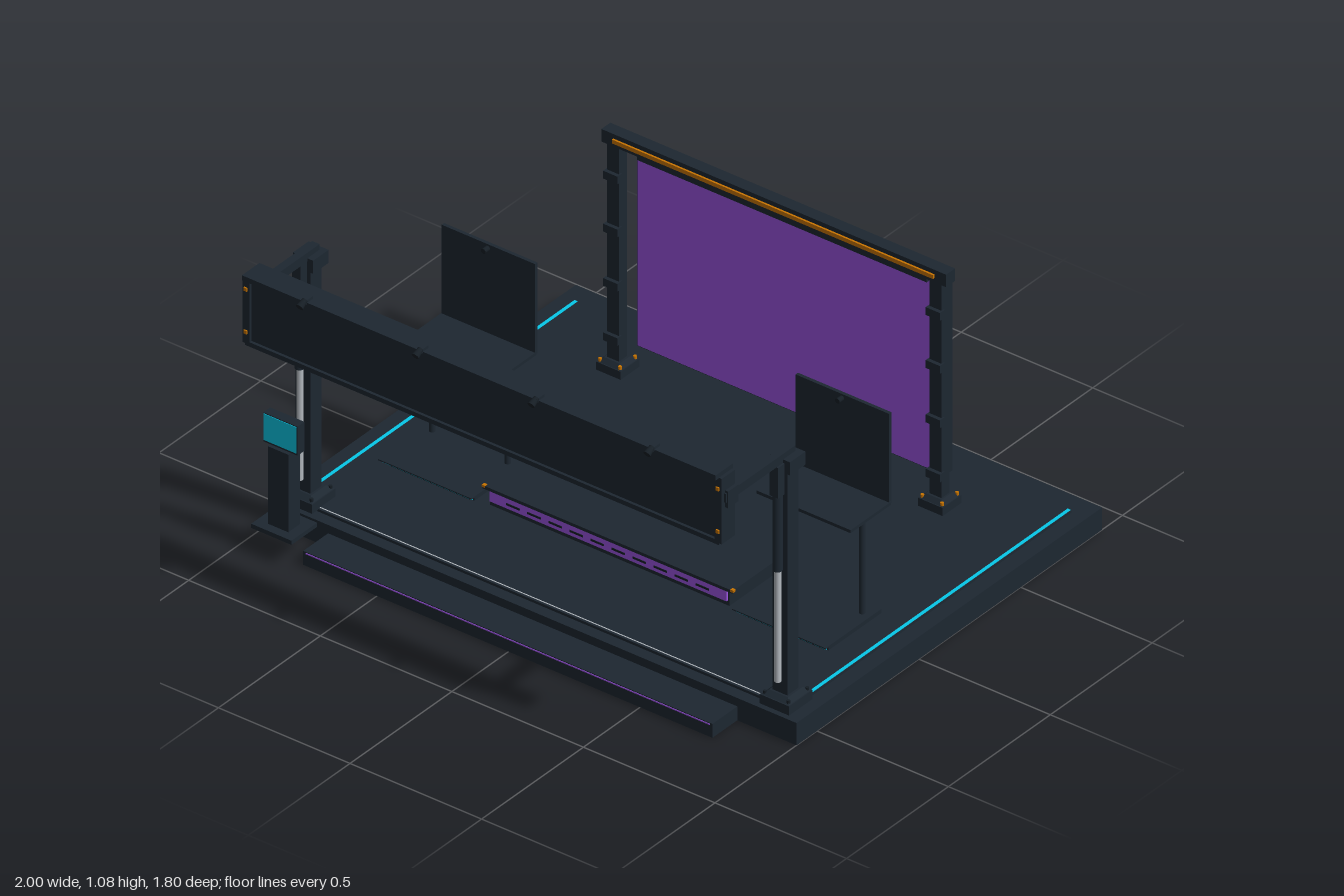
import * as THREE from 'three';

const mat = (name, color) => {
  const m = new THREE.MeshStandardMaterial({ color });
  m.name = name;
  return m;
};

export function createModel() {
  const slate = mat('slate', 0x1d2731);
  const dark = mat('darkSlate', 0x161e25);
  const cyan = mat('cyan', 0x06c8e8);
  const purple = mat('purple', 0x9c55e2);
  const orange = mat('orange', 0xc87400);
  const steel = mat('steel', 0xb4bac0);
  const model = new THREE.Group();

  const add = (parent, name, geometry, material, x = 0, y = 0, z = 0) => {
    const mesh = new THREE.Mesh(geometry, material);
    mesh.name = name;
    mesh.position.set(x, y, z);
    parent.add(mesh);
    return mesh;
  };
  // box given by its minimum and maximum along each axis
  const box = (parent, name, material, [x0, x1], [y0, y1], [z0, z1]) =>
    add(parent, name, new THREE.BoxGeometry(x1 - x0, y1 - y0, z1 - z0), material,
      (x0 + x1) / 2, (y0 + y1) / 2, (z0 + z1) / 2);
  const rod = (parent, name, material, r, x, [y0, y1], z, sides = 16) =>
    add(parent, name, new THREE.CylinderGeometry(r, r, y1 - y0, sides), material, x, (y0 + y1) / 2, z);
  const group = (name) => {
    const g = new THREE.Group();
    g.name = name;
    model.add(g);
    return g;
  };
  // square foot with a sloped shoulder and four bolts
  const foot = (parent, x, z, w, d, boltMaterial) => {
    box(parent, 'footPlate', slate, [x - w / 2, x + w / 2], [0.085, 0.118], [z - d / 2, z + d / 2]);
    const shoulder = new THREE.CylinderGeometry(0.45, 0.66, 0.014, 4, 1).toNonIndexed();
    shoulder.rotateY(Math.PI / 4);
    shoulder.scale(w, 1, d);
    shoulder.computeVertexNormals();
    add(parent, 'footShoulder', shoulder, slate, x, 0.125, z);
    for (const sx of [-1, 1]) for (const sz of [-1, 1])
      rod(parent, 'footBolt', boltMaterial, 0.006, x + sx * w * 0.4, [0.118, 0.13], z + sz * d * 0.4, 6);
  };

  // stage floor and front step
  const stage = group('stage');
  box(stage, 'stageBase', slate, [-1, 1], [0, 0.08], [-0.9, 0.6]);
  box(stage, 'stageDeck', slate, [-0.945, 0.945], [0.08, 0.089], [-0.82, 0.56]);
  box(stage, 'deckFrontTrim', steel, [-0.85, 0.85], [0.089, 0.09], [0.548, 0.552]);
  box(stage, 'frontStep', slate, [-0.78, 0.775], [0, 0.05], [0.6, 0.722]);
  box(stage, 'stepLight', purple, [-0.77, 0.765], [0.043, 0.047], [0.722, 0.724]);
  for (const s of [-1, 1])
    box(stage, 'deckLightStrip', cyan, [s * 0.937 - 0.006, s * 0.937 + 0.006], [0.088, 0.09], [-0.82, 0.48]);

  // front portal columns, with arms that carry the header
  for (const s of [-1, 1]) {
    const g = group(s > 0 ? 'leftColumn' : 'rightColumn');
    const span = (a, b) => (s > 0 ? [a, b] : [-b, -a]);
    foot(g, s * 0.906, 0.53, 0.112, 0.115, dark);
    box(g, 'columnPost', slate, span(0.878, 0.934), [0.13, 0.97], [0.505, 0.56]);
    box(g, 'columnCap', slate, span(0.868, 0.944), [0.925, 0.972], [0.484, 0.56]);
    box(g, 'headerArm', slate, span(0.89, 0.918), [0.96, 0.992], [0.5, 0.84]);
    box(g, 'armBracket', slate, span(0.903, 0.922), [0.94, 1.0], [0.785, 0.835]);
    rod(g, 'pistonRod', steel, 0.011, s * 0.908, [0.18, 0.6], 0.573);
    rod(g, 'pistonSleeve', slate, 0.016, s * 0.908, [0.58, 0.86], 0.574);
    box(g, 'pistonMount', slate, span(0.892, 0.924), [0.85, 0.96], [0.56, 0.592]);
  }

  // header panel with raised border and lamps
  const header = group('header');
  box(header, 'headerPanel', slate, [-0.9, 0.9], [0.815, 1.055], [0.795, 0.842]);
  box(header, 'headerTopRail', slate, [-0.9, 0.9], [1.048, 1.066], [0.782, 0.868]);
  box(header, 'headerBottomRail', slate, [-0.9, 0.9], [0.808, 0.824], [0.788, 0.852]);
  for (const s of [-1, 1]) {
    const x = s * 0.897;
    box(header, 'headerEndPlate', slate, [x - 0.014, x + 0.014], [0.815, 1.05], [0.788, 0.852]);
    for (const y of [0.857, 1.01])
      box(header, 'headerRivet', orange, [x - 0.006, x + 0.006], [y - 0.006, y + 0.006], [0.852, 0.857]);
  }
  for (const x of [-0.66, -0.22, 0.22, 0.66]) {
    box(header, 'lampBracket', slate, [x - 0.008, x + 0.008], [1.062, 1.076], [0.84, 0.88]);
    const lamp = add(header, 'lampHead', new THREE.CylinderGeometry(0.009, 0.013, 0.03, 12), dark, x, 1.067, 0.882);
    lamp.rotation.x = -1.1;
  }

  // rear frame
  const frame = group('rearFrame');
  for (const s of [-1, 1]) {
    foot(frame, s * 0.612, -0.604, 0.094, 0.092, orange);
    box(frame, 'framePost', slate, [s * 0.613 - 0.023, s * 0.613 + 0.023], [0.13, 0.92], [-0.622, -0.582]);
    for (const y of [0.21, 0.405, 0.6, 0.79])
      box(frame, 'postClamp', slate, [s * 0.613 - 0.027, s * 0.613 + 0.027], [y - 0.014, y + 0.014], [-0.592, -0.569]);
  }
  box(frame, 'frameBeam', slate, [-0.655, 0.655], [0.897, 0.942], [-0.624, -0.58]);
  box(frame, 'beamLight', orange, [-0.61, 0.61], [0.912, 0.926], [-0.58, -0.573]);

  // rear screen
  const screen = group('rearScreen');
  box(screen, 'screenHanger', slate, [-0.55, 0.55], [0.852, 0.872], [-0.672, -0.62]);
  box(screen, 'screenCase', slate, [-0.585, 0.585], [0.15, 0.86], [-0.702, -0.664]);
  box(screen, 'screenFace', purple, [-0.582, 0.582], [0.153, 0.855], [-0.664, -0.662]);

  // centre riser
  const riser = group('centreRiser');
  box(riser, 'riserBody', slate, [-0.455, 0.455], [0.088, 0.146], [-0.01, 0.225]);
  box(riser, 'riserTop', slate, [-0.475, 0.475], [0.145, 0.156], [-0.022, 0.235]);
  box(riser, 'riserLight', purple, [-0.45, 0.45], [0.108, 0.145], [0.225, 0.234]);
  for (let i = 0; i < 10; i++) {
    const x = -0.36 + i * 0.08;
    box(riser, 'riserVent', dark, [x - 0.025, x + 0.025], [0.121, 0.128], [0.234, 0.236]);
  }
  for (const x of [-0.472, 0.472]) for (const z of [-0.02, 0.23])
    box(riser, 'riserCornerStud', orange, [x - 0.006, x + 0.006], [0.15, 0.158], [z - 0.006, z + 0.006]);

  // side stands: floor mat with a light under its lip, two legs, tray and upright panel
  for (const s of [-1, 1]) {
    const g = group(s > 0 ? 'leftStand' : 'rightStand');
    const span = (a, b) => (s > 0 ? [a, b] : [-b, -a]);
    box(g, 'standMat', slate, span(0.495, 0.85), [0.111, 0.115], [-0.01, 0.264]);
    box(g, 'standMatBody', slate, span(0.495, 0.85), [0.1, 0.111], [-0.01, 0.25]);
    box(g, 'standMatSupport', dark, span(0.52, 0.825), [0.086, 0.1], [0.01, 0.24]);
    box(g, 'standMatLight', cyan, span(0.5, 0.845), [0.102, 0.111], [0.25, 0.254]);
    for (const x of [0.53, 0.817]) {
      rod(g, 'standLeg', slate, 0.01, s * x, [0.115, 0.465], 0.041, 12);
      rod(g, 'legCollar', orange, 0.014, s * x, [0.451, 0.46], 0.041, 12);
    }
    box(g, 'standTray', slate, span(0.495, 0.852), [0.466, 0.477], [-0.055, 0.143]);
    box(g, 'trayUnderframe', dark, span(0.515, 0.832), [0.459, 0.466], [-0.03, 0.12]);
    box(g, 'standPanel', slate, span(0.495, 0.85), [0.47, 0.795], [-0.06, -0.048]);
    const cam = add(g, 'panelCamera', new THREE.CylinderGeometry(0.009, 0.009, 0.022, 12), dark, s * 0.673, 0.783, -0.034);
    cam.rotation.x = Math.PI / 2;
  }

  // control kiosk
  const kiosk = group('kiosk');
  box(kiosk, 'kioskBase', slate, [-0.95, -0.797], [0.083, 0.098], [0.632, 0.758]);
  box(kiosk, 'kioskPost', slate, [-0.91, -0.833], [0.098, 0.376], [0.67, 0.727]);
  box(kiosk, 'kioskHead', slate, [-0.938, -0.808], [0.376, 0.48], [0.68, 0.714]);
  box(kiosk, 'kioskDisplay', cyan, [-0.935, -0.811], [0.383, 0.477], [0.714, 0.716]);
  return model;
}
